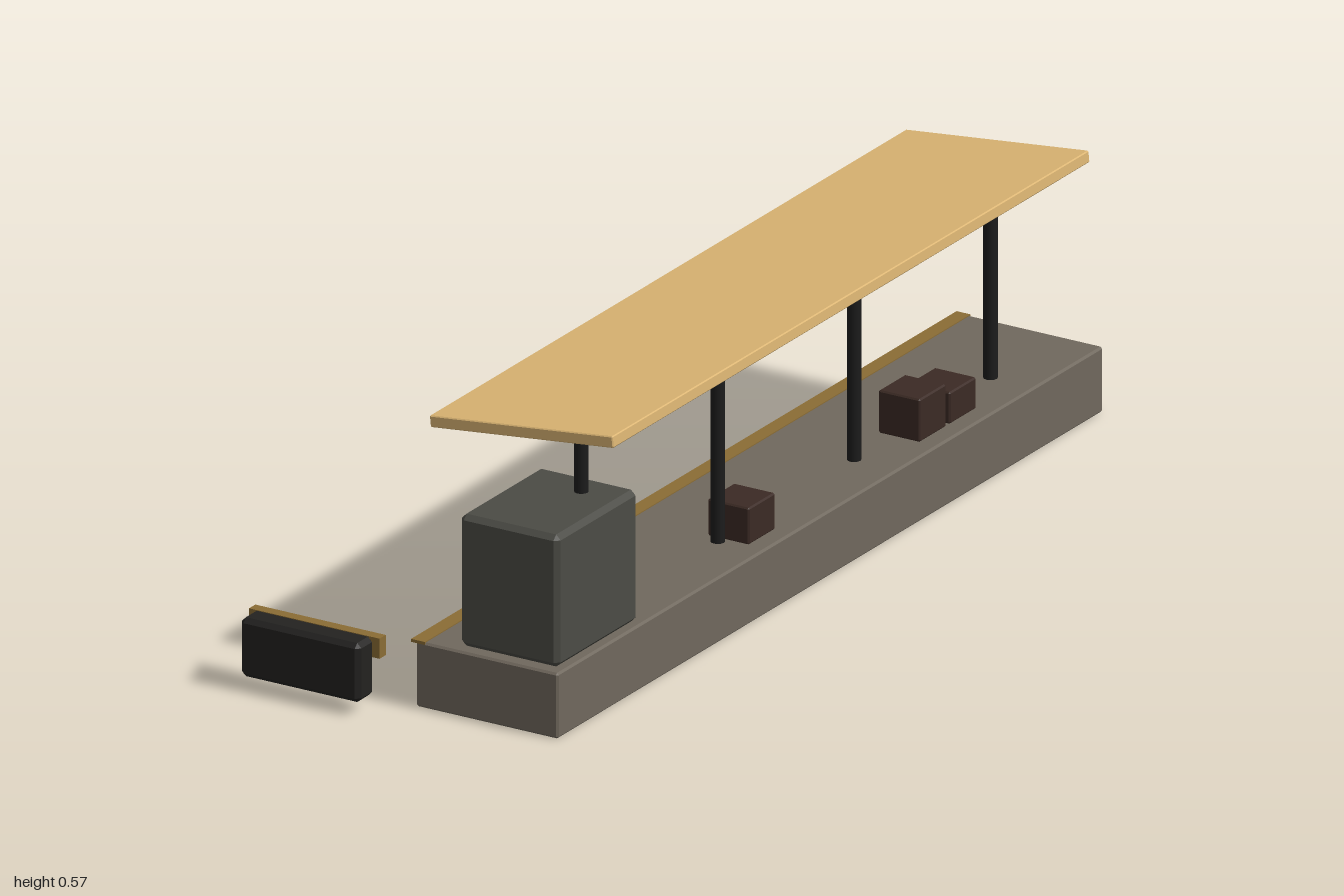
import * as THREE from 'three';
import { ConvexGeometry } from 'three/addons/geometries/ConvexGeometry.js';

const material = (color) => new THREE.MeshStandardMaterial({ color });

// Box with flat chamfered edges, as the hull of its 24 corner points
function chamferBox(w, h, d, c) {
  const half = [w / 2, h / 2, d / 2];
  const points = [];
  for (let axis = 0; axis < 3; axis++)
    for (const sx of [-1, 1]) for (const sy of [-1, 1]) for (const sz of [-1, 1]) {
      const p = [sx, sy, sz].map((s, i) => s * (half[i] - (i === axis ? 0 : c)));
      points.push(new THREE.Vector3(...p));
    }
  return new ConvexGeometry(points);
}

export function createModel() {
  const group = new THREE.Group();
  const stone = material(0x70685d);
  const cabin = material(0x4b4b45);
  const black = material(0x1c1c1c);
  const rubber = material(0x232220);
  const brass = material(0x8a6c35);
  const timber = material(0xdbb573);
  const crateWood = material(0x3b2a24);

  // Adds a block given by its extents on each axis
  function block(name, mat, [x0, x1], [y0, y1], [z0, z1], chamfer = 0) {
    const size = [x1 - x0, y1 - y0, z1 - z0];
    const geometry = chamfer ? chamferBox(...size, chamfer) : new THREE.BoxGeometry(...size);
    const mesh = new THREE.Mesh(geometry, mat);
    mesh.name = name;
    mesh.position.set((x0 + x1) / 2, (y0 + y1) / 2, (z0 + z1) / 2);
    group.add(mesh);
    return mesh;
  }

  // Platform slab and its edge strip
  block('platform', stone, [-0.012, 0.296], [0, 0.13], [-1, 0.9], 0.004);
  block('edgeStrip', brass, [-0.022, 0.008], [0.126, 0.132], [-1, 0.9]);

  // Booth with a dark window on the track side
  block('booth', cabin, [0.07, 0.284], [0.13, 0.392], [0.6, 0.88], 0.01);
  block('boothWindow', black, [0.066, 0.076], [0.245, 0.327], [0.66, 0.84]);

  // Canopy posts
  const postGeometry = new THREE.CylinderGeometry(0.0135, 0.0135, 0.393, 12);
  for (let i = 0; i < 4; i++) {
    const post = new THREE.Mesh(postGeometry, black);
    post.name = 'canopyPost' + (i + 1);
    post.position.set(0.201, 0.3265, 0.665 - i * 0.475);
    group.add(post);
  }

  // Sloping canopy roof
  const roof = block('canopyRoof', timber, [-0.057, 0.342], [0.525, 0.548], [-0.88, 0.78], 0.002);
  roof.rotation.z = 0.107;

  // Crates: top height and centre along the platform
  [[0.203, 0.13], [0.215, -0.465], [0.193, -0.57]].forEach(([top, z], i) => {
    block('crate' + (i + 1), crateWood, [0.17, 0.26], [0.13, top], [z - 0.046, z + 0.046], 0.003);
  });

  // Buffer stop at the end of the track
  block('bufferBlock', rubber, [-0.332, -0.073], [0.025, 0.142], [0.945, 1], 0.009);
  block('bufferBeam', brass, [-0.344, -0.061], [0.1, 0.14], [0.925, 0.947]);

  return group;
}
